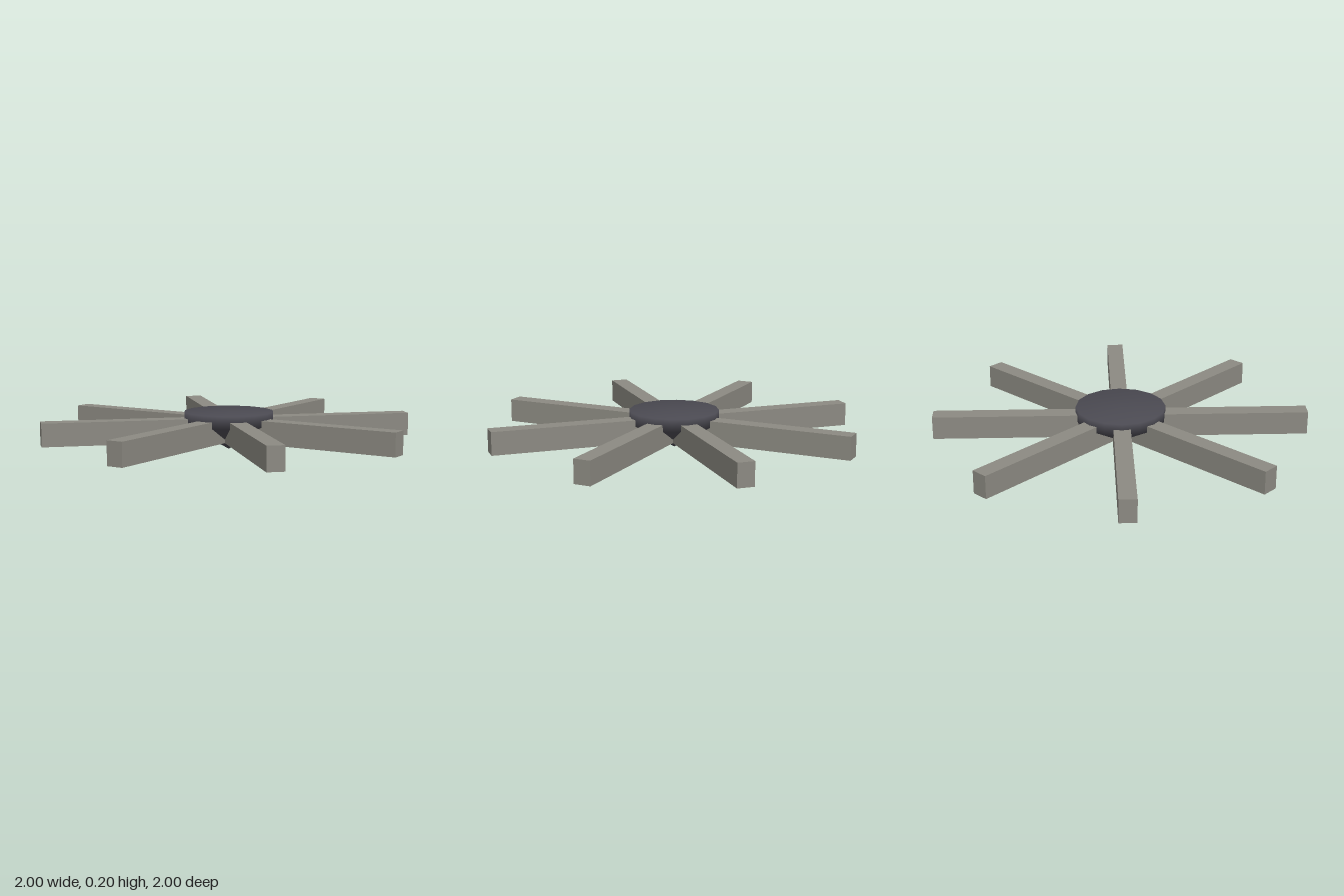
import * as THREE from 'three';

export function createModel() {
  const group = new THREE.Group();
  const spokeMaterial = new THREE.MeshStandardMaterial({ color: 0x8c8a82 });
  const hubMaterial = new THREE.MeshStandardMaterial({ color: 0x4b4a52 });

  // Four bars crossing at the centre make the eight spokes
  const barGeometry = new THREE.BoxGeometry(2, 0.124, 0.09);
  for (let i = 0; i < 4; i++) {
    const bar = new THREE.Mesh(barGeometry, spokeMaterial);
    bar.name = `spokeBar${i + 1}`;
    bar.position.y = 0.11;
    bar.rotation.y = (i * Math.PI) / 4;
    group.add(bar);
  }

  // Smooth hub: pointed underside, short upright rim, flat top
  const profile = [[0, 0], [0.24, 0.137], [0.24, 0.204], [0, 0.204]]
    .map(([r, y]) => new THREE.Vector2(r, y));
  const hub = new THREE.Mesh(new THREE.LatheGeometry(profile, 16), hubMaterial);
  hub.name = 'hub';
  group.add(hub);

  return group;
}
